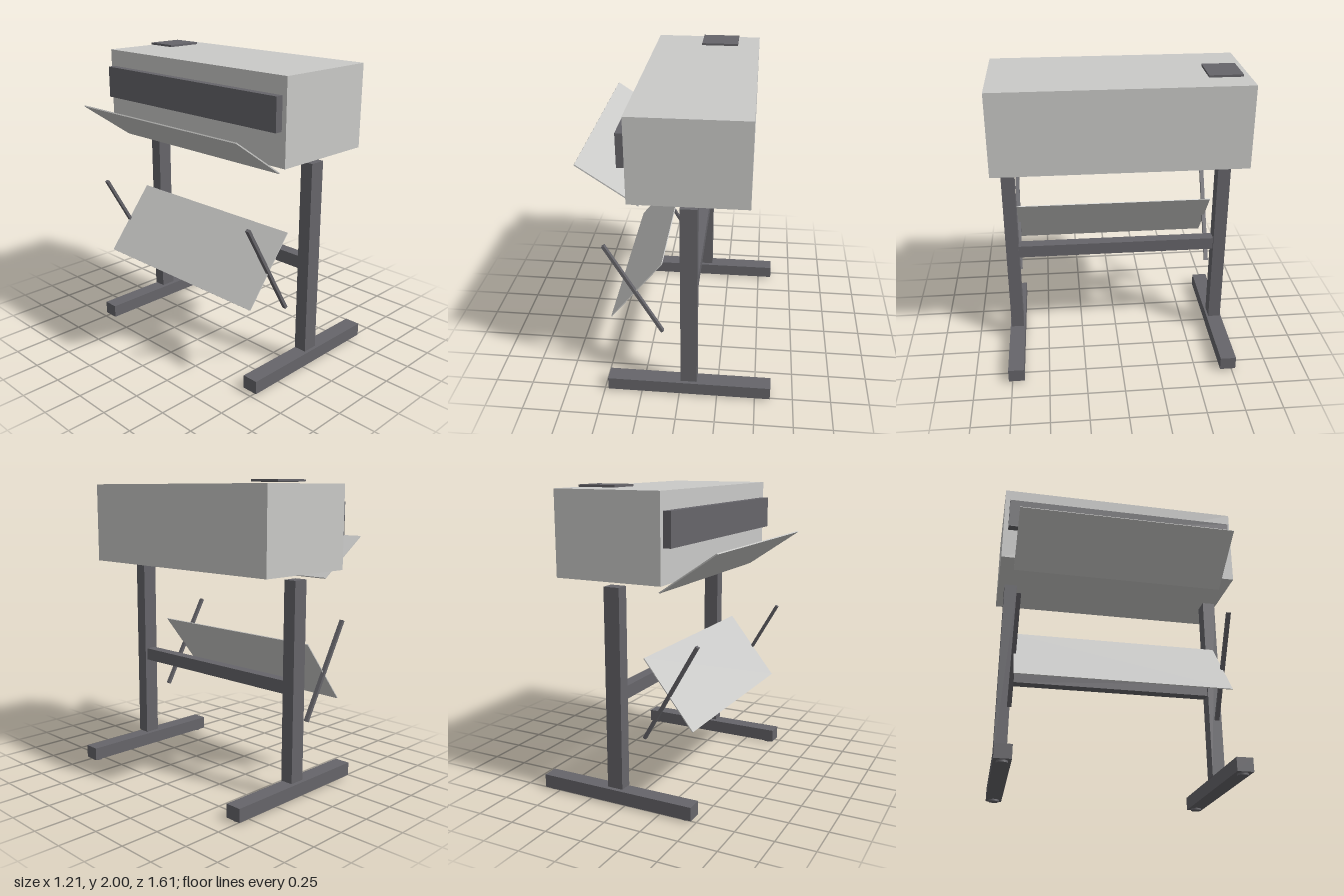
import * as THREE from 'three';

const shell = new THREE.MeshStandardMaterial({ color: 0xcacac8 });
shell.name = 'light grey shell';
const frame = new THREE.MeshStandardMaterial({ color: 0x66656a });
frame.name = 'dark grey frame';

// Box given by its minimum and maximum corners.
function box(name, material, [x0, y0, z0], [x1, y1, z1]) {
  const mesh = new THREE.Mesh(new THREE.BoxGeometry(x1 - x0, y1 - y0, z1 - z0), material);
  mesh.position.set((x0 + x1) / 2, (y0 + y1) / 2, (z0 + z1) / 2);
  mesh.name = name;
  return mesh;
}

// Sloping slab running between two points in the xy plane.
function slab(name, material, [xa, ya], [xb, yb], thickness, depth, z = 0) {
  const length = Math.hypot(xb - xa, yb - ya);
  const mesh = new THREE.Mesh(new THREE.BoxGeometry(length, thickness, depth), material);
  mesh.position.set((xa + xb) / 2, (ya + yb) / 2, z);
  mesh.rotation.z = Math.atan2(yb - ya, xb - xa);
  mesh.name = name;
  return mesh;
}

export function createModel() {
  const model = new THREE.Group();
  model.name = 'plotterOnStand';

  // Printer housing, feed slot and control panel
  model.add(
    box('housing', shell, [-0.294, 1.44, -0.807], [0.424, 1.976, 0.807]),
    box('feedSlot', frame, [-0.345, 1.655, -0.775], [-0.294, 1.865, 0.775]),
    box('controlPanel', frame, [0.03, 1.986, -0.757], [0.278, 2, -0.543]),
  );

  // Paper tray and catch sheet
  model.add(
    slab('paperTray', shell, [-0.603, 1.634], [-0.235, 1.384], 0.008, 1.435),
    slab('catchSheet', shell, [-0.443, 0.548], [-0.11, 0.967], 0.006, 1.375),
  );

  // Stand: mirrored legs, feet, pads and catch rods
  for (const side of [-1, 1]) {
    const leg = new THREE.Group();
    leg.name = side > 0 ? 'frontLeg' : 'backLeg';
    const z = side * 0.721;
    leg.add(
      box('post', frame, [0.011, 0.112, z - 0.043], [0.117, 1.402, z + 0.043]),
      box('foot', frame, [-0.473, 0.013, z - 0.053], [0.6, 0.101, z + 0.053]),
      slab('catchRod', frame, [-0.471, 1.079], [-0.113, 0.455], 0.02, 0.028, side * 0.686),
    );
    for (const x of [-0.42, 0.55]) {
      const pad = new THREE.Mesh(new THREE.CylinderGeometry(0.035, 0.035, 0.013, 24), frame);
      pad.position.set(x, 0.0065, z);
      pad.name = 'footPad';
      leg.add(pad);
    }
    model.add(leg);
  }
  model.add(box('crossbar', frame, [0.026, 0.68, -0.678], [0.102, 0.765, 0.678]));

  return model;
}
